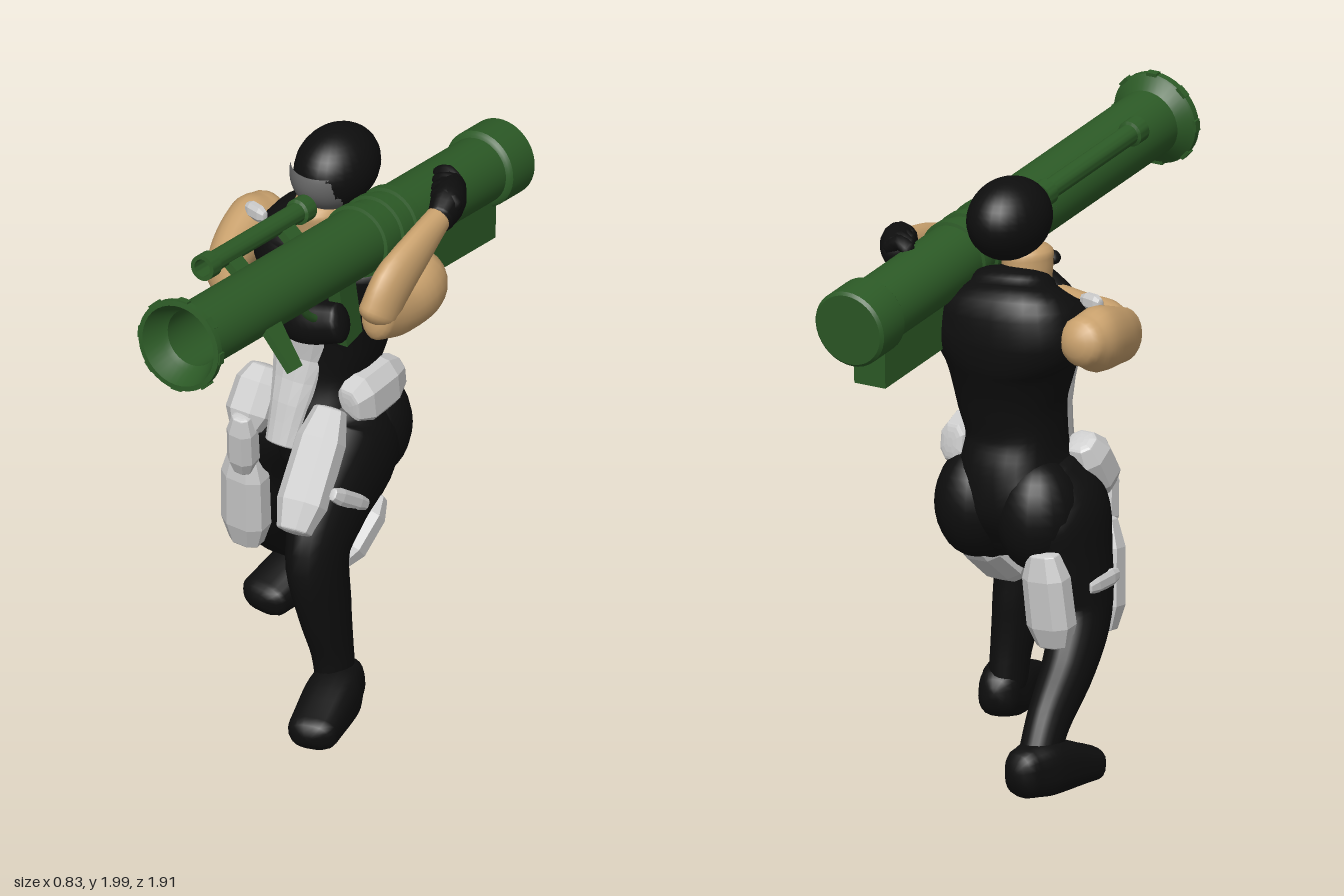
import * as THREE from 'three';
import { toCreasedNormals } from 'three/addons/utils/BufferGeometryUtils.js';

const mat = (color, flatShading = false) => new THREE.MeshStandardMaterial({ color, flatShading });
const BLACK = mat(0x0e0e0e), SKIN = mat(0xc9a16d), GREEN = mat(0x2c5a26);
const MASK = mat(0x666666), PLATE = mat(0xcccccc, true);
const X = new THREE.Vector3(1, 0, 0), Y = new THREE.Vector3(0, 1, 0), Z = new THREE.Vector3(0, 0, 1);

function add(parent, name, geometry, material, x = 0, y = 0, z = 0) {
  const m = new THREE.Mesh(geometry, material);
  m.name = name;
  m.position.set(x, y, z);
  parent.add(m);
  return m;
}

// Skin over sections [x, y, z, ru, rw]; ru lies along ref, rw across it. Ends are rounded by cap.
function loft(sections, { ref = X, seg = 20, steps = 5, cap = 0.5, pow = 1 } = {}) {
  const path = new THREE.CatmullRomCurve3(sections.map(s => new THREE.Vector3(s[0], s[1], s[2])));
  const radii = new THREE.CatmullRomCurve3(sections.map(s => new THREE.Vector3(s[3], s[4], 0)));
  const n = (sections.length - 1) * steps, rings = [], pos = [], idx = [];
  const ring = (k, shift, scale) => {
    const t = path.getTangent(k), r = radii.getPoint(k);
    const c = path.getPoint(k).addScaledVector(t, shift * cap * Math.min(r.x, r.y));
    const u = ref.clone().addScaledVector(t, -ref.dot(t)).normalize();
    rings.push({ c, u, w: t.clone().cross(u), ru: r.x * scale, rw: r.y * scale });
  };
  const ends = [0.25, 0.6, 0.95, 1.28];
  for (const a of ends) ring(0, -Math.cos(a), Math.sin(a));
  for (let i = 0; i <= n; i++) ring(i / n, 0, 1);
  for (const a of [...ends].reverse()) ring(1, Math.cos(a), Math.sin(a));
  const sp = v => Math.sign(v) * Math.abs(v) ** pow;
  for (const { c, u, w, ru, rw } of rings)
    for (let j = 0; j < seg; j++) {
      const a = (j + 0.5) / seg * Math.PI * 2;
      const p = c.clone().addScaledVector(u, sp(Math.cos(a)) * ru).addScaledVector(w, sp(Math.sin(a)) * rw);
      pos.push(p.x, p.y, p.z);
    }
  const last = rings.length - 1;
  for (let i = 0; i < last; i++)
    for (let j = 0; j < seg; j++) {
      const k = (j + 1) % seg, a = i * seg + j, b = i * seg + k;
      idx.push(a, b, b + seg, a, b + seg, a + seg);
    }
  const c0 = pos.length / 3;
  for (const r of [rings[0], rings[last]]) pos.push(r.c.x, r.c.y, r.c.z);
  for (let j = 0; j < seg; j++) {
    const k = (j + 1) % seg;
    idx.push(c0, k, j, c0 + 1, last * seg + j, last * seg + k);
  }
  const g = new THREE.BufferGeometry();
  g.setAttribute('position', new THREE.Float32BufferAttribute(pos, 3));
  g.setIndex(idx);
  g.computeVertexNormals();
  return g;
}

// Faceted armour pad running from a to b
function plate(parent, name, a, b, w, d, ref = X) {
  const at = (t, s) => [0, 1, 2].map(i => a[i] + (b[i] - a[i]) * t).concat(w * s, d * s);
  add(parent, name, loft([at(0, 0.7), at(0.22, 1), at(0.75, 0.97), at(1, 0.65)],
    { ref, seg: 8, steps: 1, cap: 0.25, pow: 0.8 }), PLATE);
}

function fingers(parent, name, starts, bend, r) {
  for (const s of starts) {
    const p = [0, 0.5, 1].map(t => [s[0] + bend[0] * t, s[1] + bend[1] * t + 0.02 * Math.sin(t * Math.PI), s[2] + bend[2] * t, r, r]);
    add(parent, name, loft(p, { ref: Z, seg: 8, steps: 2, cap: 1 }), BLACK);
  }
}

function buildLauncher() {
  const g = new THREE.Group();
  g.name = 'launcher';
  g.position.set(0.211, 1.735, 0.003);
  g.rotation.x = -0.112;
  const lathe = pts => toCreasedNormals(
    new THREE.LatheGeometry(pts.map(p => new THREE.Vector2(p[0], p[1])), 36).rotateX(Math.PI / 2), 0.5);
  // Rear cap, clamp bands, flared muzzle and hollow bore in one profile
  const bands = [-0.31, -0.23, -0.13].flatMap(z => [[0.113, z], [0.124, z + 0.003], [0.124, z + 0.037], [0.113, z + 0.04]]);
  add(g, 'launchTube', lathe([[0, -0.95], [0.122, -0.95], [0.132, -0.94], [0.132, -0.815], [0.124, -0.805], [0.113, -0.8],
    ...bands, [0.113, 0.88], [0.15, 0.915], [0.157, 0.92], [0.157, 0.943], [0.14, 0.945], [0.112, 0.88],
    [0.098, 0.86], [0.098, 0.5], [0, 0.5]]), GREEN);
  for (let i = 0; i < 8; i++) {
    const a = i * Math.PI / 4;
    add(g, 'muzzleLug', new THREE.BoxGeometry(0.04, 0.012, 0.025), GREEN, Math.sin(a) * 0.156, Math.cos(a) * 0.156, 0.928).rotation.z = -a;
  }
  // Sighting tube beside the launcher
  add(g, 'sightTube', lathe([[0, 0], [0.044, 0], [0.044, 0.05], [0.034, 0.055], [0.034, 0.55], [0.044, 0.555],
    [0.044, 0.605], [0.03, 0.605], [0.03, 0.5], [0, 0.5]]), GREEN, -0.14, 0.115, 0.005);
  for (const z of [0.15, 0.46])
    add(g, 'sightBracket', new THREE.BoxGeometry(0.1, 0.03, 0.07), GREEN, -0.1, 0.08, z).rotation.z = -0.65;
  // Tapered side fin below the front of the tube
  const fin = new THREE.Shape([[-0.045, 0.08], [0.045, 0.08], [0.03, -0.09], [-0.03, -0.09]].map(p => new THREE.Vector2(...p)));
  add(g, 'sideFin', new THREE.ExtrudeGeometry(fin, { depth: 0.025, bevelEnabled: false })
    .translate(0, 0, -0.0125).rotateY(Math.PI / 2), GREEN, 0.142, -0.1, 0.54).rotation.z = 0.7;
  // Battery box with a slanted rear, grip and trigger guard
  const box = new THREE.Shape([[0.83, -0.06], [0.4, -0.06], [0.4, -0.24], [0.845, -0.24]].map(p => new THREE.Vector2(...p)));
  add(g, 'batteryBox', new THREE.ExtrudeGeometry(box, { depth: 0.12, bevelEnabled: false })
    .translate(0, 0, -0.06).rotateY(Math.PI / 2), GREEN);
  add(g, 'gripBlock', new THREE.BoxGeometry(0.05, 0.26, 0.09), GREEN, 0, -0.22, -0.05).rotation.x = 0.3;
  const guard = new THREE.CatmullRomCurve3([[-0.1, 0.23], [-0.17, 0.17], [-0.22, 0.08], [-0.26, -0.05]]
    .map(p => new THREE.Vector3(0, p[0], p[1])));
  add(g, 'triggerGuard', new THREE.TubeGeometry(guard, 16, 0.014, 8), GREEN);
  return g;
}

function buildBody(g) {
  add(g, 'torso', loft([[-0.01, 0.8, -0.22, 0.13, 0.16], [-0.01, 0.92, -0.24, 0.205, 0.205], [0, 1.03, -0.25, 0.175, 0.19],
    [0, 1.14, -0.25, 0.16, 0.16], [0.01, 1.26, -0.26, 0.18, 0.17], [0.005, 1.4, -0.27, 0.215, 0.205],
    [-0.005, 1.51, -0.29, 0.28, 0.205], [-0.005, 1.59, -0.295, 0.255, 0.185], [0, 1.65, -0.28, 0.15, 0.11]], { seg: 28, pow: 0.85 }), BLACK);
  add(g, 'chestPlate', loft([[-0.04, 0.9, -0.04, 0.062, 0.055], [-0.035, 1.03, -0.1, 0.08, 0.08], [-0.03, 1.2, -0.15, 0.11, 0.08],
    [-0.02, 1.36, -0.17, 0.15, 0.125], [-0.03, 1.47, -0.18, 0.17, 0.135], [-0.03, 1.54, -0.2, 0.15, 0.115]],
    { seg: 16, steps: 2, cap: 0.2, pow: 0.9 }), PLATE);
  add(g, 'neck', loft([[-0.01, 1.59, -0.22, 0.07, 0.09], [-0.02, 1.66, -0.215, 0.078, 0.09], [-0.015, 1.73, -0.21, 0.085, 0.095]]), SKIN);
  add(g, 'hood', new THREE.SphereGeometry(1, 28, 20), BLACK, 0.015, 1.862, -0.27).scale.set(0.13, 0.137, 0.168);
  add(g, 'faceMask', new THREE.SphereGeometry(1, 24, 14, 0.22 * Math.PI, 0.58 * Math.PI, 0.42 * Math.PI, 0.46 * Math.PI),
    MASK, 0.005, 1.858, -0.268).scale.set(0.134, 0.14, 0.173);
  plate(g, 'shoulderBuckle', [-0.31, 1.61, -0.23], [-0.23, 1.61, -0.21], 0.03, 0.02, Y);
}

function buildArms(g) {
  // Right arm folded across the chest to the grip
  add(g, 'rightUpperArm', loft([[-0.32, 1.52, -0.35, 0.085, 0.085], [-0.327, 1.51, -0.28, 0.11, 0.088], [-0.315, 1.485, -0.16, 0.098, 0.075],
    [-0.285, 1.455, -0.055, 0.09, 0.065]], { ref: Y, cap: 0.7 }), SKIN);
  add(g, 'rightForearm', loft([[-0.265, 1.45, -0.055, 0.085, 0.07], [-0.19, 1.45, 0, 0.092, 0.072], [-0.07, 1.46, 0.04, 0.075, 0.062],
    [0.08, 1.485, 0.085, 0.05, 0.05]], { ref: Y, cap: 0.5 }), SKIN);
  add(g, 'rightGlove', loft([[0.05, 1.48, 0.085, 0.06, 0.06], [0.15, 1.5, 0.105, 0.08, 0.068], [0.27, 1.53, 0.1, 0.07, 0.055]], { ref: Y, seg: 14 }), BLACK);
  fingers(g, 'rightFinger', [0.05, 0.09, 0.13].map(z => [0.15, 1.56, z]), [-0.05, 0.04, 0], 0.024);
  // Left arm bent up beside the tube
  add(g, 'leftArm', loft([[0.27, 1.49, -0.36, 0.08, 0.09], [0.32, 1.49, -0.31, 0.085, 0.105], [0.34, 1.485, -0.16, 0.072, 0.092],
    [0.345, 1.52, -0.03, 0.06, 0.085]], { cap: 0.9 }), SKIN);
  add(g, 'leftForearm', loft([[0.345, 1.53, -0.025, 0.06, 0.09], [0.358, 1.615, -0.08, 0.058, 0.095],
    [0.368, 1.69, -0.21, 0.048, 0.075], [0.365, 1.74, -0.34, 0.042, 0.048]], { cap: 0.7 }), SKIN);
  add(g, 'leftGlove', loft([[0.37, 1.74, -0.345, 0.045, 0.055], [0.35, 1.76, -0.42, 0.058, 0.068], [0.3, 1.76, -0.5, 0.055, 0.055]], { seg: 14 }), BLACK);
  fingers(g, 'leftFinger', [-0.515, -0.475, -0.435, -0.395].map(z => [0.32 + (z + 0.515) * 0.6, 1.775, z]), [-0.07, 0.01, -0.005], 0.025);
}

function buildLegs(g) {
  // Left leg stepping forward
  add(g, 'leftLeg', loft([[0.1, 0.98, -0.26, 0.11, 0.16], [0.135, 0.88, -0.2, 0.13, 0.2], [0.165, 0.76, -0.01, 0.113, 0.17],
    [0.185, 0.63, 0.095, 0.093, 0.135], [0.205, 0.42, 0.085, 0.078, 0.108], [0.22, 0.25, 0.06, 0.064, 0.08], [0.225, 0.14, 0.05, 0.06, 0.075]]), BLACK);
  add(g, 'leftSeat', new THREE.SphereGeometry(1, 20, 16), BLACK, 0.11, 0.89, -0.31).scale.set(0.14, 0.19, 0.155);
  add(g, 'leftFoot', loft([[0.235, 0.12, 0.015, 0.07, 0.085], [0.255, 0.11, 0.1, 0.09, 0.095], [0.3, 0.08, 0.29, 0.085, 0.06]], { cap: 0.9, pow: 0.75 }), BLACK);
  // Right leg pushing back
  add(g, 'rightLeg', loft([[-0.11, 0.98, -0.26, 0.11, 0.16], [-0.16, 0.87, -0.23, 0.135, 0.2], [-0.2, 0.72, -0.22, 0.11, 0.165],
    [-0.225, 0.54, -0.22, 0.095, 0.13], [-0.25, 0.4, -0.32, 0.085, 0.105], [-0.27, 0.25, -0.48, 0.07, 0.085], [-0.28, 0.14, -0.56, 0.065, 0.075]]), BLACK);
  add(g, 'rightSeat', new THREE.SphereGeometry(1, 20, 16), BLACK, -0.125, 0.88, -0.31).scale.set(0.14, 0.19, 0.15);
  add(g, 'rightFoot', loft([[-0.275, 0.11, -0.63, 0.07, 0.085], [-0.29, 0.11, -0.54, 0.09, 0.095], [-0.315, 0.075, -0.345, 0.09, 0.06]], { cap: 0.9, pow: 0.75 }), BLACK);
  // Armour pads
  plate(g, 'leftHipPad', [0.155, 1.06, -0.13], [0.18, 1.09, -0.36], 0.075, 0.1);
  plate(g, 'leftThighPad', [0.165, 0.755, 0.2], [0.13, 1.07, -0.06], 0.085, 0.07);
  plate(g, 'leftHamstringPad', [0.175, 0.55, -0.01], [0.2, 0.71, -0.2], 0.09, 0.055);
  plate(g, 'leftThighStrap', [0.25, 0.87, 0.1], [0.27, 0.76, -0.06], 0.02, 0.03);
  plate(g, 'rightHipPad', [-0.18, 0.92, -0.03], [-0.18, 1.09, -0.14], 0.082, 0.08);
  plate(g, 'rightThighPad', [-0.19, 0.76, -0.03], [-0.17, 0.98, 0.01], 0.052, 0.05);
  plate(g, 'rightKneePad', [-0.22, 0.45, -0.09], [-0.2, 0.81, -0.05], 0.085, 0.06);
  plate(g, 'rightHamstringPad', [-0.22, 0.47, -0.37], [-0.2, 0.78, -0.4], 0.085, 0.06);
  plate(g, 'rightThighStrap', [-0.31, 0.66, -0.13], [-0.3, 0.65, -0.28], 0.02, 0.03);
}

export function createModel() {
  const g = new THREE.Group();
  g.name = 'soldier';
  buildBody(g);
  buildArms(g);
  buildLegs(g);
  g.add(buildLauncher());
  return g;
}
